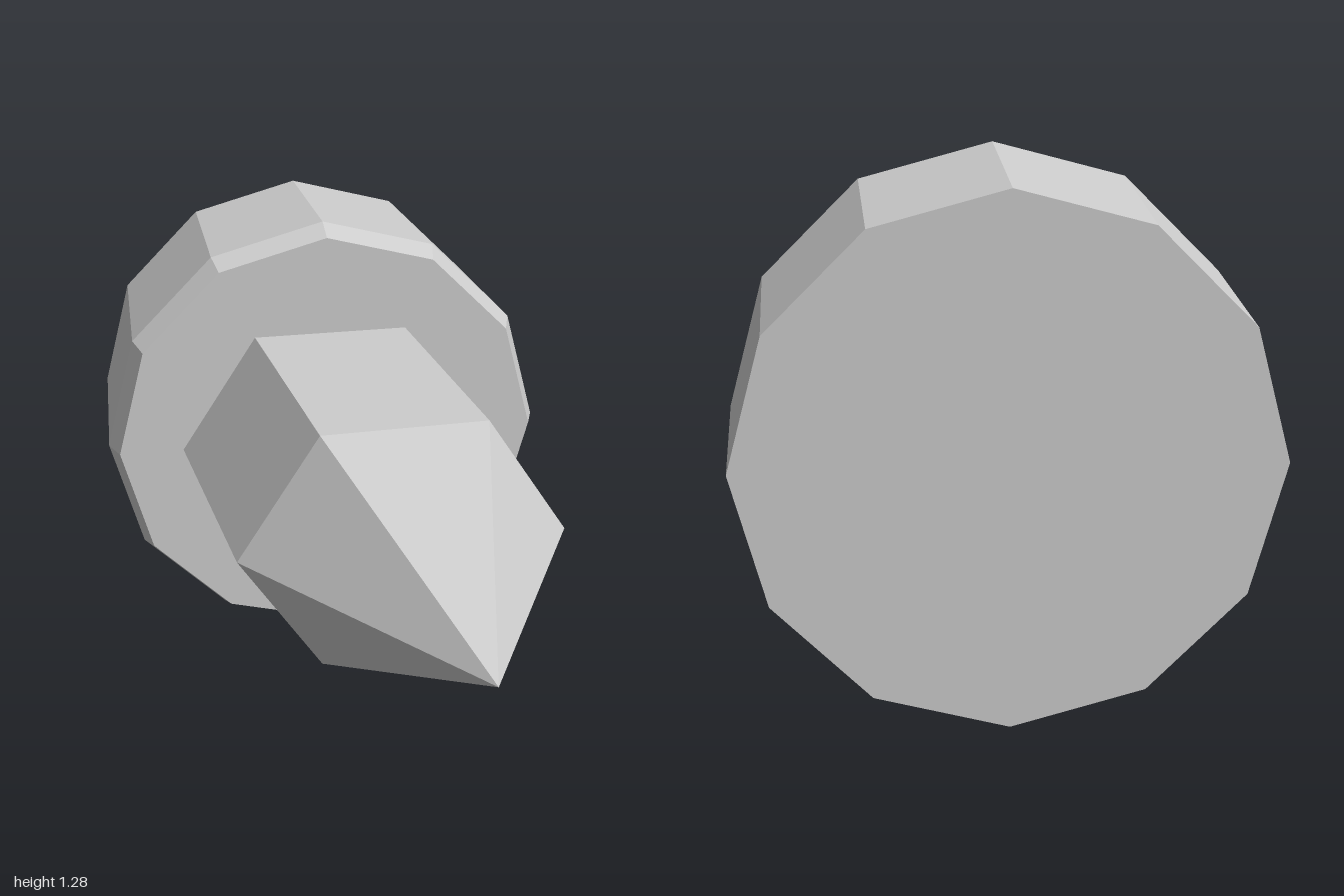
import * as THREE from 'three';

// Lofts closed rings (ordered back to front) into a faceted, capped solid.
function loft(rings) {
  const positions = [];
  const add = (...points) => points.forEach((p) => positions.push(p.x, p.y, p.z));
  const n = rings[0].length;
  for (let r = 0; r < rings.length - 1; r++) {
    const a = rings[r], b = rings[r + 1];
    for (let i = 0; i < n; i++) {
      const j = (i + 1) % n;
      add(a[i], a[j], b[j]);
      add(a[i], b[j], b[i]);
    }
  }
  const back = rings[0], front = rings[rings.length - 1];
  for (let i = 1; i < n - 1; i++) {
    add(back[0], back[i + 1], back[i]);
    add(front[0], front[i], front[i + 1]);
  }
  const geometry = new THREE.BufferGeometry();
  geometry.setAttribute('position', new THREE.Float32BufferAttribute(positions, 3));
  geometry.computeVertexNormals();
  return geometry;
}

// Regular ring facing +z; slope tilts its plane along x.
function ring(sides, cx, z, rx, ry, slope = 0) {
  return Array.from({ length: sides }, (_, i) => {
    const t = (i / sides) * Math.PI * 2;
    const dx = Math.cos(t) * rx;
    return new THREE.Vector3(cx + dx, CENTER_Y + Math.sin(t) * ry, z + slope * dx);
  });
}

const CENTER_Y = 0.643;

export function createModel() {
  const group = new THREE.Group();
  const grey = new THREE.MeshStandardMaterial({ color: 0xcccccc });
  grey.name = 'light grey';

  const part = (name, geometry) => {
    const mesh = new THREE.Mesh(geometry, grey);
    mesh.name = name;
    group.add(mesh);
  };

  // Twelve-sided base with a bevelled front rim and tapered back
  part('base', loft([
    ring(12, 0, -1, 0.613, 0.613),
    ring(12, 0, -0.47, 0.64, 0.64),
    ring(12, 0, -0.4, 0.613, 0.613),
  ]));

  // Six-sided shaft leaning slightly to the left, ending in a point
  part('pointedShaft', loft([
    ring(6, 0.004, -0.45, 0.4375, 0.383),
    ring(6, 0.0725, 0.3, 0.4375, 0.383, -0.027),
    ring(6, 0.133, 1, 0, 0),
  ]));

  return group;
}
